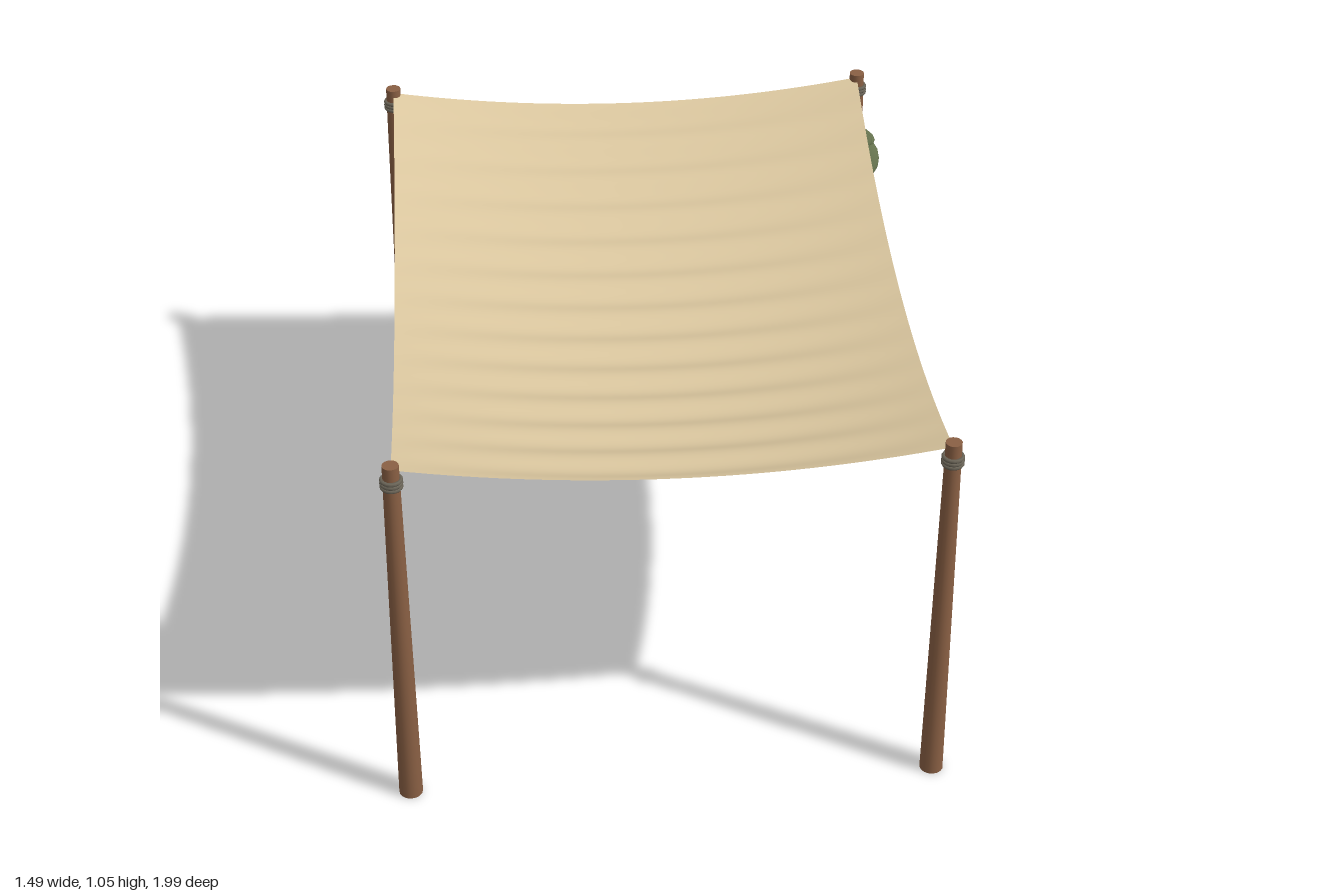
import * as THREE from 'three';

const CX = -0.029, CZ = 0.028;   // centre of the canopy
const HX = 0.686, HZ = 0.94;     // half spans between posts
const POST_H = 1.055;

const paint = (color, side = THREE.FrontSide) => new THREE.MeshStandardMaterial({ color, side });

function add(parent, name, geometry, material, x = 0, y = 0, z = 0) {
  const mesh = new THREE.Mesh(geometry, material);
  mesh.name = name;
  mesh.position.set(x, y, z);
  parent.add(mesh);
  return mesh;
}

// Cloth that sags between its corners, with cross ripples fading at the sides
function canopyGeometry() {
  const g = new THREE.PlaneGeometry(2 * HX, 2 * HZ, 32, 120).rotateX(-Math.PI / 2);
  const p = g.attributes.position;
  for (let i = 0; i < p.count; i++) {
    const u = p.getX(i) / HX, v = p.getZ(i) / HZ;
    const sagX = 1 - u * u, sagZ = 1 - v * v;
    const ripple = 0.007 * sagX * (Math.cos(12 * Math.PI * v) - 1);
    p.setY(i, 1.04 - 0.06 * sagX - 0.13 * sagZ + ripple);
  }
  g.computeVertexNormals();
  return g;
}

export function createModel() {
  const group = new THREE.Group();
  const wood = paint(0x8a6044), rope = paint(0x6b6558), leafGreen = paint(0x66734f);

  add(group, 'canopy', canopyGeometry(), paint(0xdcc8a0, THREE.DoubleSide), CX, 0, CZ);

  // Four tapered posts, each with a rope lashing near the top
  const postGeo = new THREE.CylinderGeometry(0.021, 0.031, POST_H, 16);
  const ringGeo = new THREE.TorusGeometry(0.024, 0.0055, 6, 16).rotateX(Math.PI / 2);
  for (const sx of [-1, 1]) for (const sz of [-1, 1]) {
    const corner = new THREE.Group();
    corner.name = (sz > 0 ? 'front' : 'back') + (sx > 0 ? 'Left' : 'Right') + 'Post';
    corner.position.set(CX + sx * HX, 0, CZ + sz * HZ);
    add(corner, 'post', postGeo, wood, 0, POST_H / 2, 0);
    for (const y of [0.993, 1.003, 1.013]) add(corner, 'ropeRing', ringGeo, rope, 0, y, 0);
    group.add(corner);
  }

  // Leaves spiralling up the back left post
  let seed = 7;
  const random = () => (seed = (seed * 16807) % 2147483647) / 2147483647;
  const vine = new THREE.Group();
  vine.name = 'climbingVine';
  vine.position.set(CX + HX, 0, CZ - HZ);
  const leafGeo = new THREE.SphereGeometry(1, 12, 8);
  const count = 34;
  for (let i = 0; i < count; i++) {
    const angle = i * 2.4, r = 0.036 + 0.013 * random();
    const leaf = add(vine, 'leaf', leafGeo, leafGreen,
      Math.cos(angle) * r, 0.17 + 0.69 * i / (count - 1), Math.sin(angle) * r);
    const size = 0.85 + 0.3 * random();
    leaf.scale.set(0.03 * size, 0.012 * size, 0.047 * size);
    leaf.rotation.set((random() - 0.5) * 2, -angle + (random() - 0.5) * 1.6, (random() - 0.5) * 2.4, 'YXZ');
  }
  group.add(vine);
  return group;
}
